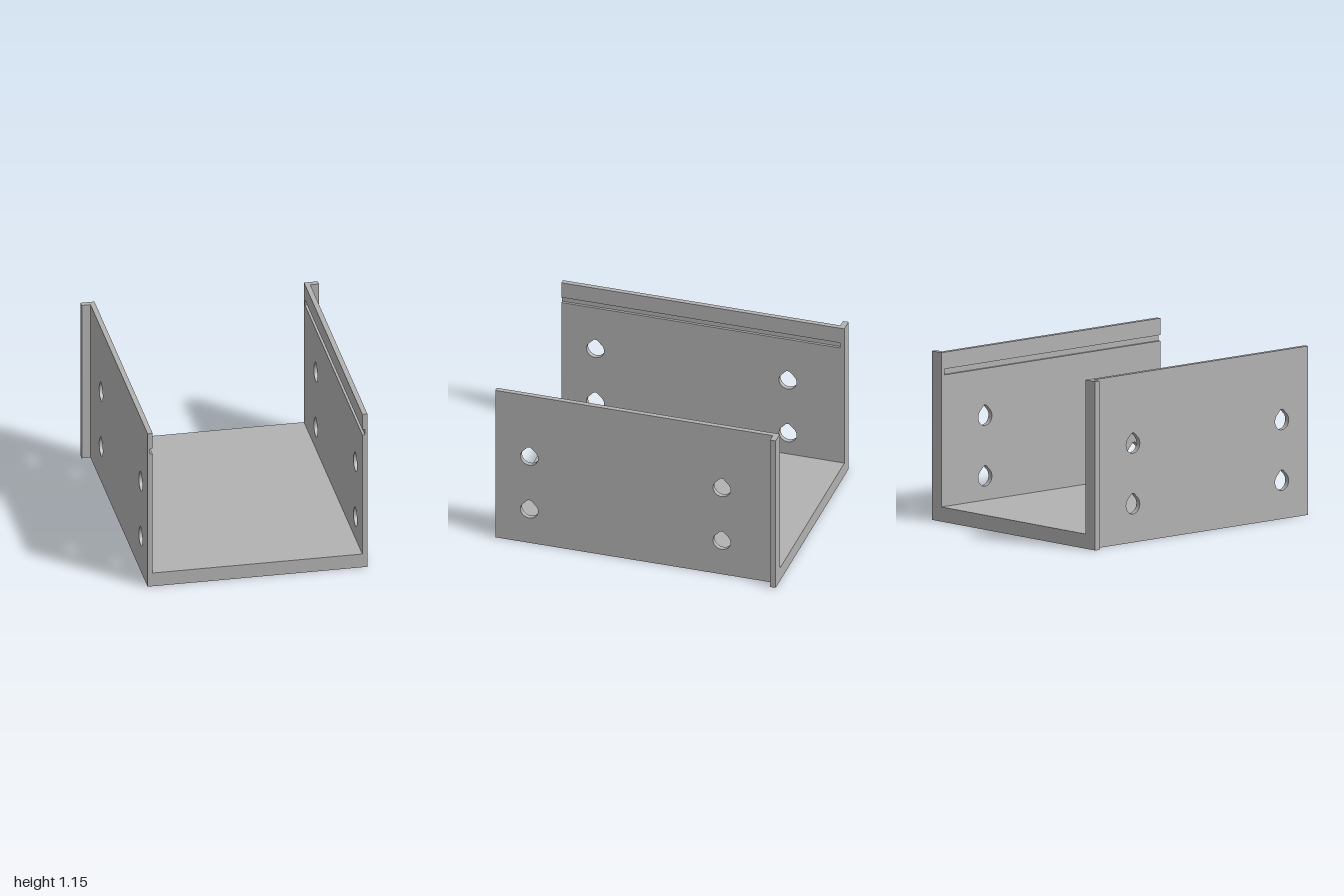
import * as THREE from 'three';
import { toCreasedNormals } from 'three/addons/utils/BufferGeometryUtils.js';

const W = 0.755, INNER = 0.72, H = 1.155, FLOOR = 0.1;
const GROOVE = { depth: 0.018, low: 1.0, high: 1.04, end: -0.97 };

function polygon(points) {
  return new THREE.Shape(points.map(([x, y]) => new THREE.Vector2(x, y)));
}

// Round hole with a 45 degree roof and a small flat at the tip
function teardrop(z, y, r = 0.062, tip = 0.078) {
  const path = new THREE.Path();
  const flat = r * Math.SQRT2 - tip;
  path.absarc(z, y, r, Math.PI * 0.75, Math.PI * 2.25, false);
  path.lineTo(z + flat, y + tip);
  path.lineTo(z - flat, y + tip);
  path.closePath();
  return path;
}

function roundedSquare(x, z, half = 0.1, r = 0.05) {
  const path = new THREE.Path();
  const c = half - r;
  path.absarc(x + c, z + c, r, 0, Math.PI / 2, false);
  path.absarc(x - c, z + c, r, Math.PI / 2, Math.PI, false);
  path.absarc(x - c, z - c, r, Math.PI, Math.PI * 1.5, false);
  path.absarc(x + c, z - c, r, Math.PI * 1.5, Math.PI * 2, false);
  path.closePath();
  return path;
}

function extrude(shape, depth) {
  const geo = new THREE.ExtrudeGeometry(shape, { depth, bevelEnabled: false, curveSegments: 24 });
  return toCreasedNormals(geo, 0.5);
}

// Upright sheet: shape is drawn in (z, y), thickness runs from x0 to x1
function uprightSheet(shape, x0, x1) {
  return extrude(shape, x1 - x0).rotateY(-Math.PI / 2).translate(x1, 0, 0);
}

// Level sheet: shape is drawn in (x, z), thickness runs from y0 to y1
function levelSheet(shape, y0, y1) {
  return extrude(shape, y1 - y0).rotateX(Math.PI / 2).translate(0, y1, 0);
}

export function createModel() {
  const model = new THREE.Group();
  model.name = 'channelBracket';
  const grey = new THREE.MeshStandardMaterial({ color: 0xb2b2b2 });
  grey.name = 'grey';

  const add = (parent, name, geometry) => {
    const mesh = new THREE.Mesh(geometry, grey);
    mesh.name = name;
    parent.add(mesh);
    return mesh;
  };

  // Floor: a solid top over a layer with three blind pockets near the right wall
  const floor = new THREE.Group();
  floor.name = 'floor';
  const rect = () => polygon([[-W, -1], [W, -1], [W, 1], [-W, 1]]);
  const pocketed = rect();
  for (const z of [0.69, -0.14, -0.65]) pocketed.holes.push(roundedSquare(-0.63, z));
  add(floor, 'floorTop', levelSheet(rect(), 0.07, FLOOR));
  add(floor, 'floorPockets', levelSheet(pocketed, 0, 0.07));
  model.add(floor);

  // Walls: plain outer layer, inner layer notched by a groove open at the front
  const { depth, low, high, end } = GROOVE;
  const outer = polygon([[-1, FLOOR], [1, FLOOR], [1, H], [-1, H]]);
  const inner = polygon([[-1, FLOOR], [1, FLOOR], [1, low], [end, low],
    [end, high], [1, high], [1, H], [-1, H]]);
  for (const z of [0.76, -0.6]) {
    for (const y of [0.257, 0.672]) {
      outer.holes.push(teardrop(z, y));
      inner.holes.push(teardrop(z, y));
    }
  }

  for (const side of [1, -1]) {
    const wall = new THREE.Group();
    wall.name = side > 0 ? 'leftWall' : 'rightWall';
    const seam = INNER + depth;
    // Each sheet is placed directly on its own side
    const sheet = (shape, a, b) => side > 0 ? uprightSheet(shape, a, b) : uprightSheet(shape, -b, -a);
    add(wall, 'wallOuterLayer', sheet(outer, seam, W));
    add(wall, 'wallInnerLayer', sheet(inner, INNER, seam));

    // Narrow flange along the back edge
    const flange = add(wall, 'backFlange', new THREE.BoxGeometry(0.06, H, 0.04));
    flange.position.set(side * (W + 0.03), H / 2, -0.98);
    model.add(wall);
  }
  return model;
}
